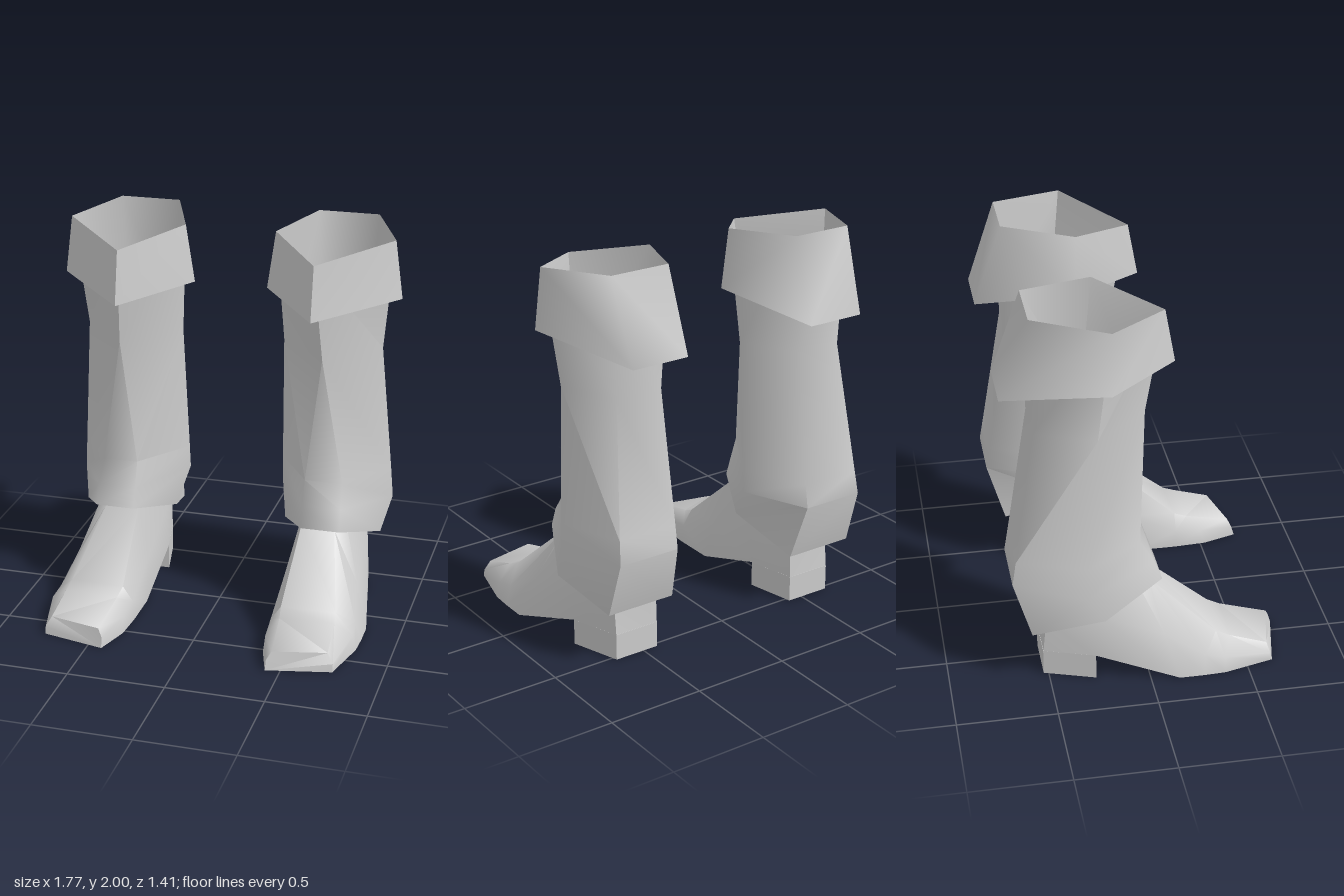
import * as THREE from 'three';
import { toCreasedNormals } from 'three/addons/utils/BufferGeometryUtils.js';

const leather = new THREE.MeshStandardMaterial({ color: 0xcccccc, side: THREE.DoubleSide });
leather.name = 'greyLeather';

// Skins a list of closed rings; side = -1 mirrors the part across x
function loft(name, rings, side, crease, capped) {
  const n = rings[0].length;
  const positions = rings.flat().flatMap(([x, y, z]) => [x * side, y, z]);
  const index = [];
  const tri = (a, b, c) => (side > 0 ? index.push(a, b, c) : index.push(a, c, b));
  for (let r = 0; r < rings.length - 1; r++) {
    for (let i = 0; i < n; i++) {
      const a = r * n + i, b = r * n + (i + 1) % n;
      tri(a, a + n, b + n);
      tri(a, b + n, b);
    }
  }
  if (capped) {
    const last = (rings.length - 1) * n;
    for (let i = 1; i < n - 1; i++) {
      tri(0, i, i + 1);
      tri(last, last + i + 1, last + i);
    }
  }
  const geometry = new THREE.BufferGeometry();
  geometry.setAttribute('position', new THREE.Float32BufferAttribute(positions, 3));
  geometry.setIndex(index);
  const mesh = new THREE.Mesh(toCreasedNormals(geometry, crease), leather);
  mesh.name = name;
  return mesh;
}

// Ring order: front, outer side, back outer, back inner, inner side
const cuffRim = [[0.5, 1.905, 0.11], [0.845, 1.975, -0.2], [0.69, 2, -0.56], [0.375, 2, -0.56], [0.235, 1.975, -0.2]];
const cuffHem = [[0.5, 1.63, 0.16], [0.885, 1.675, -0.205], [0.67, 1.585, -0.705], [0.365, 1.585, -0.705], [0.19, 1.675, -0.205]];

// The shaft runs from the cuff rim to the ankle; its front edge splits in two low down
const shaftRings = [
  [...cuffRim, cuffRim[0]],
  [[0.53, 1.39, 0.01], [0.785, 1.39, -0.26], [0.66, 1.39, -0.55], [0.41, 1.39, -0.55], [0.27, 1.39, -0.26], [0.53, 1.39, 0.01]],
  [[0.64, 0.715, -0.03], [0.838, 0.715, -0.32], [0.72, 0.715, -0.655], [0.4, 0.715, -0.655], [0.257, 0.715, -0.32], [0.45, 0.73, 0]],
  [[0.65, 0.6, 0.04], [0.85, 0.55, -0.33], [0.73, 0.595, -0.675], [0.4, 0.595, -0.675], [0.255, 0.595, -0.33], [0.45, 0.6, 0.045]],
  [[0.65, 0.495, 0.08], [0.808, 0.385, -0.23], [0.74, 0.295, -0.585], [0.37, 0.295, -0.585], [0.3, 0.415, -0.21], [0.45, 0.495, 0.08]],
];

// Foot rings from toe to heel: sole inner, sole outer, side outer, top outer, top inner, side inner
const footRings = [
  [[0.425, 0, 0.705], [0.75, 0, 0.635], [0.75, 0.04, 0.625], [0.72, 0.09, 0.61], [0.45, 0.09, 0.67], [0.427, 0.05, 0.69]],
  [[0.37, 0, 0.525], [0.815, 0, 0.38], [0.8, 0.08, 0.38], [0.71, 0.15, 0.42], [0.43, 0.15, 0.43], [0.375, 0.08, 0.5]],
  [[0.36, 0, 0.36], [0.82, 0, 0.27], [0.79, 0.1, 0.28], [0.7, 0.18, 0.35], [0.42, 0.18, 0.36], [0.367, 0.1, 0.36]],
  [[0.36, 0, 0.145], [0.82, 0, 0.145], [0.755, 0.22, 0.08], [0.615, 0.48, 0.02], [0.44, 0.48, 0.02], [0.37, 0.22, 0.08]],
  [[0.365, 0.135, -0.27], [0.745, 0.135, -0.27], [0.74, 0.36, -0.24], [0.64, 0.56, -0.08], [0.43, 0.56, -0.08], [0.37, 0.36, -0.24]],
  [[0.42, 0.12, -0.525], [0.66, 0.12, -0.525], [0.66, 0.33, -0.505], [0.63, 0.56, -0.505], [0.42, 0.56, -0.505], [0.42, 0.33, -0.505]],
];

// Heel block, tapering towards the back
const heelPlan = [[0.745, -0.27], [0.66, -0.525], [0.42, -0.525], [0.365, -0.27]];
const heelRings = [0.136, 0].map((y) => heelPlan.map(([x, z]) => [x, y, z]));

function makeBoot(name, side) {
  const boot = new THREE.Group();
  boot.name = name;
  boot.add(
    loft('cuff', [cuffRim, cuffHem], side, 1.35, false),
    loft('shaft', shaftRings, side, 1.2, false),
    loft('foot', footRings, side, 0.95, true),
    loft('heel', heelRings, side, 0.95, true),
  );
  return boot;
}

export function createModel() {
  const model = new THREE.Group();
  model.name = 'boots';
  model.add(makeBoot('leftBoot', 1), makeBoot('rightBoot', -1));
  return model;
}
